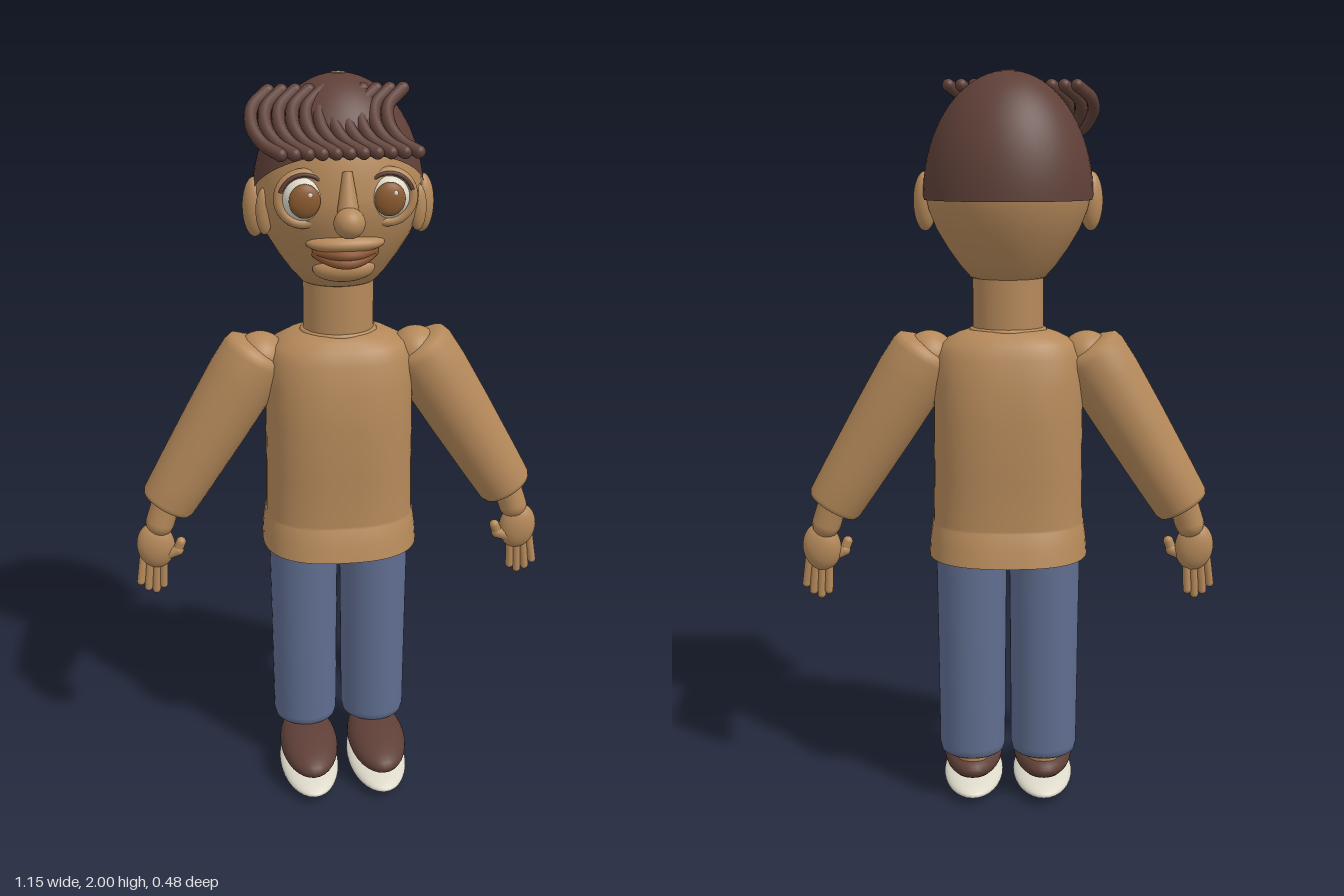
import * as THREE from 'three';

const mat = (name, color) => Object.assign(new THREE.MeshStandardMaterial({ color }), { name });
const V = (x, y, z) => new THREE.Vector3(x, y, z);
const BACK = -0.04; // depth of the body's axis

export function createModel() {
  const skin = mat('skin and sweater tan', 0xb5895a);
  const hair = mat('hair and shoe brown', 0x5f4038);
  const denim = mat('trouser blue', 0x5f6d8f);
  const white = mat('sole and eye white', 0xdedacb);
  const irisBrown = mat('iris brown', 0x8a5a30);
  const lipBrown = mat('lip brown', 0x8c5632);

  const model = new THREE.Group();
  model.name = 'standingFigure';

  const add = (name, geometry, material, p = [0, 0, 0]) => {
    const mesh = new THREE.Mesh(geometry, material);
    mesh.name = name;
    mesh.position.set(...p);
    model.add(mesh);
    return mesh;
  };
  const ball = (name, material, p, r) => {
    const mesh = add(name, new THREE.SphereGeometry(1, 32, 20), material, p);
    mesh.scale.set(...r);
    return mesh;
  };
  // Lathe from [radius, height] pairs, bottom to top
  const lathe = (pts) => new THREE.LatheGeometry(pts.map(([r, y]) => new THREE.Vector2(r, y)), 40);
  const aim = (mesh, from, to) =>
    mesh.quaternion.setFromUnitVectors(V(0, 1, 0), to.clone().sub(from).normalize());
  const capsule = (name, material, a, b, r) => {
    const mid = a.clone().add(b).multiplyScalar(0.5);
    const mesh = add(name, new THREE.CapsuleGeometry(r, a.distanceTo(b), 6, 14), material, mid.toArray());
    aim(mesh, a, b);
    return mesh;
  };
  // Skin joining closed rings of points, listed bottom to top
  const loft = (rings) => {
    const n = rings[0].length, index = [];
    for (let i = 0; i < rings.length - 1; i++) {
      for (let j = 0; j < n; j++) {
        const a = i * n + j, b = i * n + (j + 1) % n, c = b + n, d = a + n;
        index.push(a, d, b, b, d, c);
      }
    }
    const g = new THREE.BufferGeometry();
    g.setAttribute('position', new THREE.Float32BufferAttribute(rings.flat(2), 3));
    g.setIndex(index);
    g.computeVertexNormals();
    return g;
  };

  // Sweater body: rounded box sections with a flared hem
  const sections = [
    [0.728, 0.01, 0.01], [0.727, 0.215, 0.194], [0.727, 0.215, 0.194], [0.77, 0.212, 0.184],
    [0.815, 0.206, 0.17], [0.82, 0.203, 0.163], [0.95, 0.2, 0.167], [1.1, 0.2, 0.168],
    [1.2, 0.198, 0.158], [1.27, 0.195, 0.142], [1.305, 0.175, 0.128], [1.325, 0.135, 0.11],
    [1.338, 0.095, 0.088], [1.338, 0.01, 0.01],
  ];
  const round = (v) => Math.sign(v) * Math.abs(v) ** 0.78;
  add('sweaterBody', loft(sections.map(([y, rx, rz]) => Array.from({ length: 56 }, (_, j) => {
    const a = j / 56 * Math.PI * 2;
    return [rx * round(Math.cos(a)), y, BACK + rz * round(Math.sin(a))];
  }))), skin);

  // Neck and collar
  const neck = add('neck', new THREE.CylinderGeometry(0.094, 0.094, 0.2, 40), skin, [0, 1.41, BACK]);
  neck.scale.z = 0.88;
  const collar = add('collar', new THREE.TorusGeometry(0.095, 0.009, 8, 40), skin, [0, 1.334, BACK]);
  collar.rotation.x = Math.PI / 2;
  collar.scale.y = 0.9;

  // Egg-shaped head
  const headPts = [[0, 1.462], [0.07, 1.463], [0.1, 1.475], [0.126, 1.505], [0.158, 1.55], [0.188, 1.6], [0.208, 1.65]];
  for (let i = 0; i <= 16; i++) {
    const a = i / 16 * Math.PI / 2;
    headPts.push([0.217 * Math.cos(a), 1.69 + 0.303 * Math.sin(a)]);
  }
  add('head', lathe(headPts), skin, [0, 0, BACK]).scale.z = 0.895;

  // Hair cap with a level nape and a hairline rising to the forehead
  const capPoint = (t, a) => [
    0.222 * Math.sin(t) * Math.cos(a), 1.68 + 0.32 * Math.cos(t), BACK + 0.198 * Math.sin(t) * Math.sin(a),
  ];
  const hairEdge = (a) => {
    let lo = 0, hi = 2;
    for (let k = 0; k < 24; k++) {
      const t = (lo + hi) / 2, [, y, z] = capPoint(t, a);
      if (y > 1.675 + Math.max(0, z + 0.08) * 0.72) lo = t; else hi = t;
    }
    return lo;
  };
  const capRings = [];
  for (let i = 0; i <= 20; i++) {
    const f = 1 - i / 20 * 0.999;
    capRings.push(Array.from({ length: 56 }, (_, j) => {
      const a = j / 56 * Math.PI * 2;
      return capPoint(f * hairEdge(a), a);
    }));
  }
  const hairCap = add('hairCap', loft(capRings), hair);
  hairCap.material.side = THREE.DoubleSide;
  add('crownSpot', new THREE.CylinderGeometry(0.018, 0.018, 0.004, 24), skin, [0, 1.9985, BACK]);

  // Fringe of curved locks
  for (let i = 0; i < 11; i++) {
    const x = -0.18 + i * 0.0335;
    const curve = new THREE.CatmullRomCurve3([
      V(x, 1.965, 0.012), V(x - 0.042, 1.93, 0.05), V(x - 0.045, 1.89, 0.095), V(x - 0.02, 1.855, 0.13), V(x + 0.018, 1.835, 0.155),
    ]);
    add('fringeLock', new THREE.TubeGeometry(curve, 20, 0.0165, 10), hair);
    ball('lockRoot', hair, [x, 1.965, 0.012], [0.0165, 0.0165, 0.0165]);
    ball('lockTip', hair, [x + 0.018, 1.835, 0.155], [0.0165, 0.0165, 0.0165]);
  }

  // Nose, mouth and chin
  const bridge = add('noseBridge', new THREE.CylinderGeometry(0.012, 0.03, 0.11, 20), skin, [0, 1.735, 0.155]);
  bridge.rotation.x = -0.2;
  ball('noseTip', skin, [0, 1.672, 0.187], [0.039, 0.038, 0.039]);
  ball('upperLipPad', skin, [0, 1.605, 0.105], [0.1, 0.026, 0.05]);
  const smile = (y, z, sag) => new THREE.QuadraticBezierCurve3(V(-0.075, y, z - 0.045), V(0, y - sag, z + 0.045), V(0.075, y, z - 0.045));
  add('upperLip', new THREE.TubeGeometry(smile(1.584, 0.145, 0.008), 20, 0.013, 10), lipBrown);
  add('lowerLip', new THREE.TubeGeometry(smile(1.579, 0.143, 0.042), 20, 0.013, 10), lipBrown);
  ball('chin', skin, [0, 1.53, 0.072], [0.08, 0.035, 0.038]);

  for (const s of [1, -1]) {
    const side = s > 0 ? 'left' : 'right';

    // Eye
    const ex = s * 0.105, ey = 1.72;
    ball(side + 'Eyeball', white, [ex, ey, 0.102], [0.058, 0.058, 0.058]);
    add(side + 'EyeSocket', new THREE.TorusGeometry(0.062, 0.013, 12, 36), skin, [ex, ey, 0.118]);
    ball(side + 'Iris', irisBrown, [ex, ey, 0.148], [0.039, 0.042, 0.017]);
    ball(side + 'EyeGlint', white, [ex + 0.012, ey + 0.017, 0.161], [0.006, 0.006, 0.003]);
    const lash = add(side + 'Lash', new THREE.TorusGeometry(0.061, 0.005, 8, 24, Math.PI * 0.8), hair, [ex, ey, 0.133]);
    lash.rotation.z = Math.PI * 0.1;

    // Ear
    ball(side + 'Ear', skin, [s * 0.217, 1.67, -0.03], [0.031, 0.077, 0.033]);
    ball(side + 'EarFront', skin, [s * 0.196, 1.672, 0.032], [0.022, 0.06, 0.018]);

    // Sleeve with rounded shoulder and open-looking flat cuff
    const cuff = V(s * 0.48, 0.847, -0.033), shoulder = V(s * 0.213, 1.285, BACK);
    const sleeve = add(side + 'Sleeve', lathe([
      [0, 0], [0.06, 0], [0.072, 0.004], [0.077, 0.016], [0.082, 0.1], [0.091, 0.28], [0.096, 0.42],
      [0.094, 0.49], [0.087, 0.512], [0.06, 0.524], [0, 0.53],
    ]), skin, cuff.toArray());
    aim(sleeve, cuff, shoulder);
    ball(side + 'Shoulder', skin, [s * 0.21, 1.262, BACK], [0.07, 0.07, 0.075]);

    // Hand
    capsule(side + 'Wrist', skin, V(s * 0.475, 0.87, -0.03), V(s * 0.5, 0.795, -0.025), 0.04);
    ball(side + 'Palm', skin, [s * 0.515, 0.728, -0.02], [0.053, 0.068, 0.033]).rotation.z = -s * 0.1;
    [[0.552, 0.562, 0.62], [0.533, 0.542, 0.6], [0.514, 0.52, 0.59], [0.495, 0.499, 0.603]].forEach(([x0, x1, y1], i) => {
      capsule(side + 'Finger', skin, V(s * x0, 0.69, -0.02), V(s * x1, y1, -0.014 - 0.003 * i), 0.0115);
    });
    capsule(side + 'ThumbBase', skin, V(s * 0.49, 0.7, -0.015), V(s * 0.455, 0.715, -0.01), 0.017);
    capsule(side + 'Thumb', skin, V(s * 0.455, 0.715, -0.01), V(s * 0.445, 0.74, -0.008), 0.014);

    // Trouser leg, ankle and shoe
    add(side + 'TrouserLeg', lathe([
      [0, 0.14], [0.08, 0.14], [0.088, 0.146], [0.092, 0.165], [0.0945, 0.5], [0.097, 0.73], [0.095, 0.79], [0, 0.8],
    ]), denim, [s * 0.1, 0, BACK]);
    add(side + 'Ankle', new THREE.CylinderGeometry(0.045, 0.045, 0.1, 24), skin, [s * 0.1, 0.12, -0.05]);
    ball(side + 'Shoe', hair, [s * 0.1, 0.095, 0.054], [0.083, 0.05, 0.173]);
    ball(side + 'ShoeSole', white, [s * 0.1, 0.03, 0.053], [0.085, 0.03, 0.185]);
  }
  return model;
}
